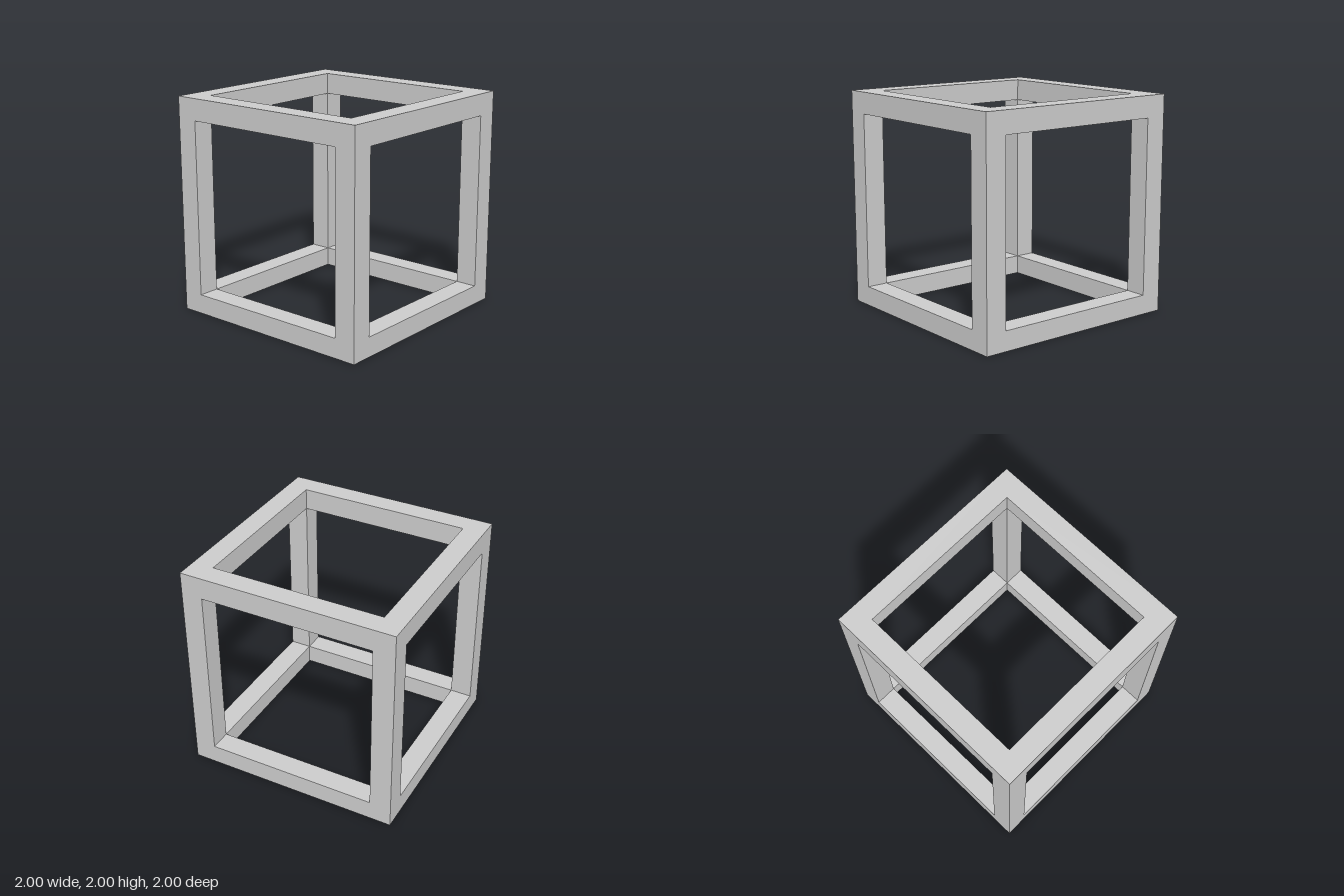
import * as THREE from 'three';

const HALF = 1;        // half the outer width
const BAR = 0.2;       // bar width
const BOTTOM = 0.18;   // thickness of the bottom frame
const TOP = 0.2;       // thickness of the top frame
const HEIGHT = 2;

const material = new THREE.MeshStandardMaterial({ color: 0xcccccc, flatShading: true });

function squarePath(path, h) {
  path.moveTo(-h, -h);
  path.lineTo(h, -h);
  path.lineTo(h, h);
  path.lineTo(-h, h);
  path.closePath();
  return path;
}

// Flat square ring lying in the ground plane, rising from y
function squareFrame(name, y, thickness) {
  const shape = squarePath(new THREE.Shape(), HALF);
  shape.holes.push(squarePath(new THREE.Path(), HALF - BAR));
  const geometry = new THREE.ExtrudeGeometry(shape, { depth: thickness, bevelEnabled: false });
  geometry.rotateX(-Math.PI / 2);
  const mesh = new THREE.Mesh(geometry, material);
  mesh.name = name;
  mesh.position.y = y;
  return mesh;
}

export function createModel() {
  const model = new THREE.Group();
  model.name = 'cubeFrame';

  // Top and bottom square frames
  model.add(squareFrame('bottomFrame', 0, BOTTOM));
  model.add(squareFrame('topFrame', HEIGHT - TOP, TOP));

  // Four corner posts between the frames
  const postHeight = HEIGHT - TOP - BOTTOM;
  const postGeometry = new THREE.BoxGeometry(BAR, postHeight, BAR);
  const offset = HALF - BAR / 2;
  for (const [side, x] of [['Left', offset], ['Right', -offset]]) {
    for (const [end, z] of [['front', offset], ['back', -offset]]) {
      const post = new THREE.Mesh(postGeometry, material);
      post.name = `${end}${side}Post`;
      post.position.set(x, BOTTOM + postHeight / 2, z);
      model.add(post);
    }
  }

  return model;
}
